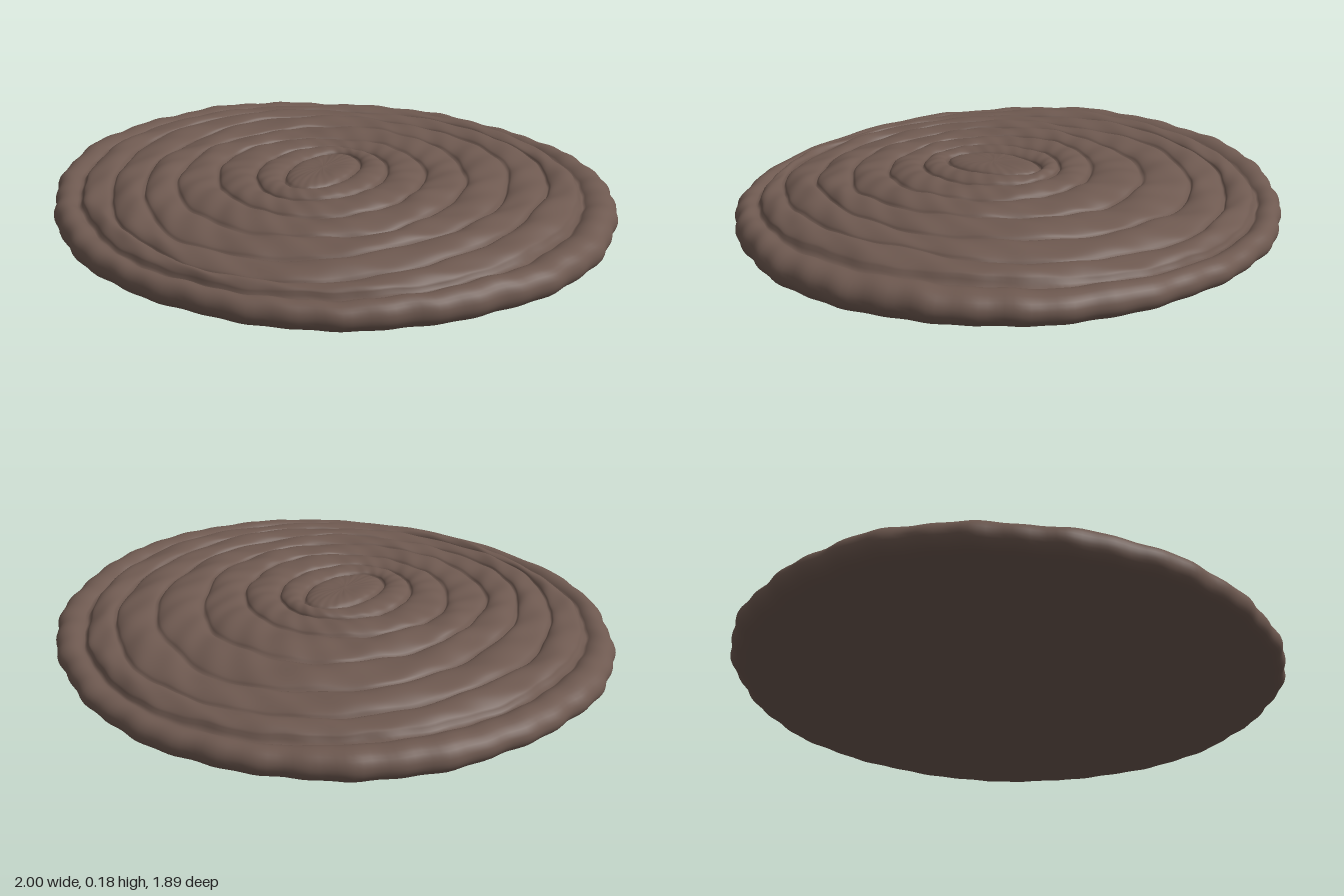
import * as THREE from 'three';

const SEG = 240; // steps around
const STEPS = 20; // steps across one coil
const COILS = 7; // raised coils inside the rim
// Half widths and half depths of the grooves between coils, and their shift to the front
const HALF_X = [0, 0.11, 0.22, 0.36, 0.49, 0.62, 0.75, 0.87, 1];
const HALF_Z = [0, 0.18, 0.25, 0.36, 0.52, 0.67, 0.79, 0.86, 0.943];
const SHIFT_Z = [0.07, 0.07, 0.08, 0.08, 0.065, 0.04, 0.025, 0.01, 0];

function pick(list, s) {
  const i = Math.min(list.length - 2, Math.floor(s));
  return THREE.MathUtils.lerp(list[i], list[i + 1], s - i);
}

// Gentle lumps that repeat around the circle
function lump(a, s) {
  return 0.4 * Math.sin(4 * a + 2.2 * s) + 0.35 * Math.sin(9 * a - 3.9 * s + 1) + 0.25 * Math.sin(21 * a + 5.4 * s + 2);
}

// Plan position for coil number s (whole numbers are grooves) and angle a
function plan(s, a) {
  const wave = 0.5 * Math.sin(19 * a + 1) + 0.5 * Math.sin(43 * a) + 0.6 * Math.sin(7 * a) - 0.5;
  const twist = Math.sin(3 * a + 1.7 * s) + 0.6 * Math.sin(7 * a - 2.3 * s) + 0.4 * Math.sin(13 * a + 3 * s);
  const ragged = 1 + 0.007 * (s / 8) ** 4 * wave + 0.012 * Math.sin((Math.PI * s) / 8) * twist;
  return [
    pick(HALF_X, s) * Math.cos(a) * ragged,
    pick(HALF_Z, s) * Math.sin(a) * ragged + pick(SHIFT_Z, s),
  ];
}

// Height of the rim, higher at the two sides and most of all on the right
const rimTop = (a) => 0.091 + 0.032 * Math.cos(a) ** 2 - 0.006 * Math.cos(a);

// Underside lifts slightly at the right edge
const lift = (a) => 0.022 * Math.max(0, -Math.cos(a)) ** 4;

// Domed top with rounded coils
function topHeight(s, a) {
  const [x, z] = plan(s, a);
  const edge = rimTop(a);
  const base = edge + (0.183 - edge) * (1 - Math.min(1, x * x + (z * z) / 0.885));
  const u = 2 * (s - Math.floor(s)) - 1;
  const groove = Math.sqrt(1 - u * u) - 1;
  return base + 0.026 * groove * Math.min(1, s) + 0.008 * lump(a, s) * Math.min(1, s / 4);
}

// Cross-section from the centre of the top, over the rim, to the centre below
function section() {
  const rows = [];
  for (let i = 1; i <= COILS * STEPS; i++) {
    rows.push((a) => [i / STEPS, topHeight(i / STEPS, a)]);
  }
  for (let i = 0; i <= 18; i++) {
    const turn = Math.PI * (0.8 - (1.3 * i) / 18); // round the rim
    rows.push((a) => {
      const low = 0.004 + lift(a);
      const half = (rimTop(a) - low) / 2;
      const bump = 1 + 0.12 * lump(a * 2, 4);
      const y = low + half + half * Math.sin(turn) * (turn > 0 ? bump : 1);
      return [7.5 + 0.5 * Math.cos(turn), y];
    });
  }
  for (const s of [7, 5.5, 3, 1]) {
    rows.push((a) => [s, lift(a) * Math.max(0, (s - 3) / 4.5)]);
  }
  return rows;
}

function coiledDisc() {
  const rows = section();
  const pos = [0, 0.183, SHIFT_Z[0]];
  const index = [];
  const id = (r, j) => 1 + r * SEG + (j % SEG);
  rows.forEach((row) => {
    for (let j = 0; j < SEG; j++) {
      const a = (j / SEG) * Math.PI * 2;
      const [s, y] = row(a);
      const [x, z] = plan(s, a);
      pos.push(x, y, z);
    }
  });
  const last = pos.length / 3;
  pos.push(0, 0, SHIFT_Z[0]);
  for (let j = 0; j < SEG; j++) {
    index.push(0, id(0, j + 1), id(0, j));
    for (let r = 0; r < rows.length - 1; r++) {
      const a = id(r, j), b = id(r, j + 1), c = id(r + 1, j), d = id(r + 1, j + 1);
      index.push(a, b, c, b, d, c);
    }
    index.push(last, id(rows.length - 1, j), id(rows.length - 1, j + 1));
  }
  const g = new THREE.BufferGeometry();
  g.setAttribute('position', new THREE.Float32BufferAttribute(pos, 3));
  g.setIndex(index);
  g.computeVertexNormals();
  return g;
}

export function createModel() {
  const group = new THREE.Group();
  group.name = 'coiledMound';
  const brown = new THREE.MeshStandardMaterial({ color: 0x6e5950 });
  brown.name = 'earthBrown';
  const disc = new THREE.Mesh(coiledDisc(), brown);
  disc.name = 'coiledDisc';
  group.add(disc);
  return group;
}
